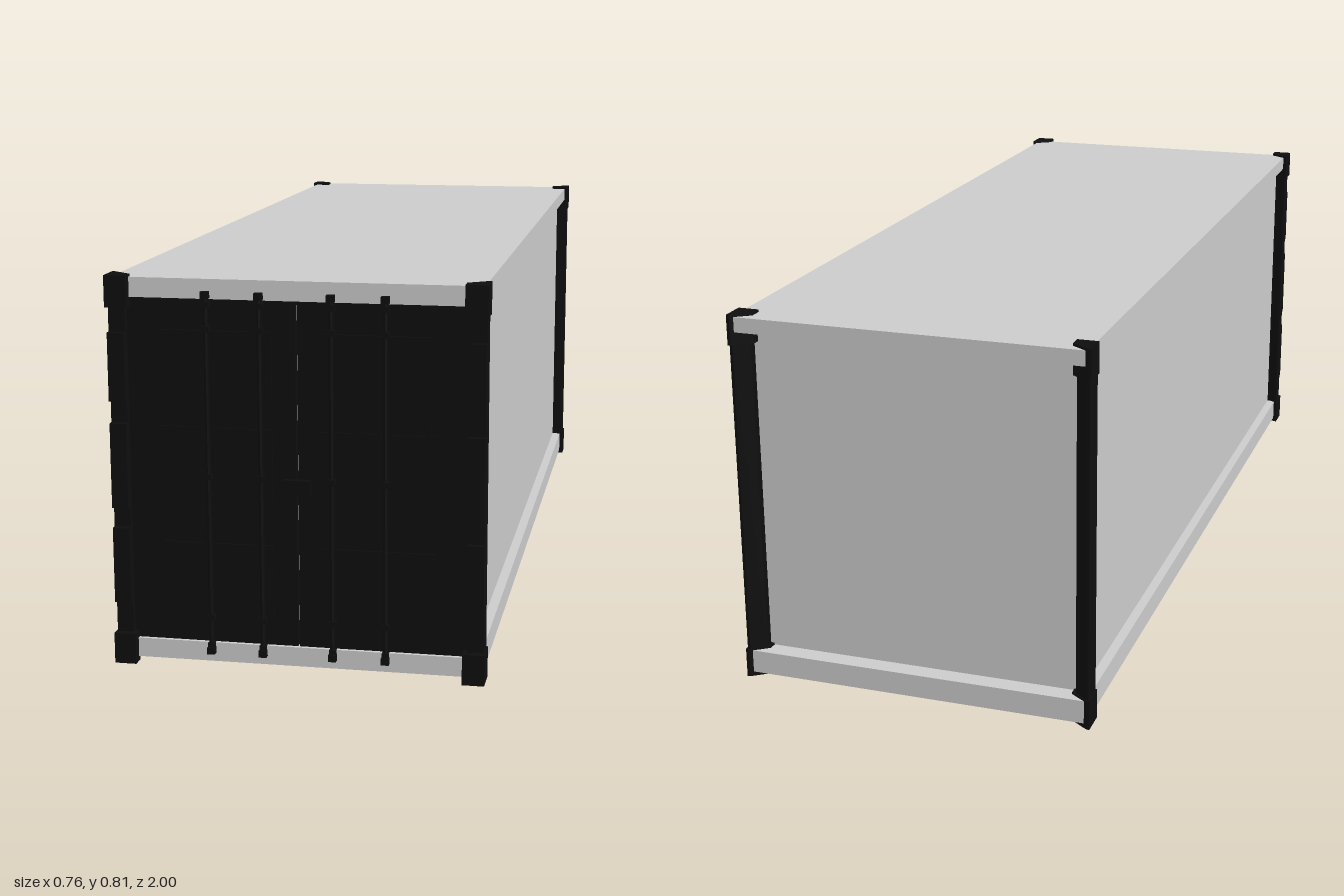
import * as THREE from 'three';

export function createModel() {
  const model = new THREE.Group();
  const grey = new THREE.MeshStandardMaterial({ color: 0xcccccc, flatShading: true });
  const black = new THREE.MeshStandardMaterial({ color: 0x0e0e0e, flatShading: true });

  // Box given by its extents on each axis
  function box(name, mat, x0, x1, y0, y1, z0, z1, parent = model) {
    const mesh = new THREE.Mesh(new THREE.BoxGeometry(x1 - x0, y1 - y0, z1 - z0), mat);
    mesh.position.set((x0 + x1) / 2, (y0 + y1) / 2, (z0 + z1) / 2);
    mesh.name = name;
    parent.add(mesh);
    return mesh;
  }

  // Upright column with its inner rear corner cut away
  function column(name, side, xIn, xOut, y0, y1, z0, z1) {
    const cut = z0 + (z1 - z0) * 0.5;
    const pts = [[xOut, z0], [xOut, z1], [xIn, z1], [xIn, cut], [xOut - 0.006, z0]];
    const shape = new THREE.Shape(pts.map(([x, z]) => new THREE.Vector2(side * x, -z)));
    const geo = new THREE.ExtrudeGeometry(shape, { depth: y1 - y0, bevelEnabled: false });
    geo.rotateX(-Math.PI / 2);
    const mesh = new THREE.Mesh(geo, black);
    mesh.position.y = y0;
    mesh.name = name;
    model.add(mesh);
  }

  // Body: recessed walls between floor and roof slabs
  box('walls', grey, -0.352, 0.352, 0.03, 0.79, -0.955, 0.955);
  box('floorFrame', grey, -0.373, 0.373, 0.01, 0.06, -0.995, 0.955);
  box('roofFrame', grey, -0.373, 0.373, 0.768, 0.8, -0.995, 0.955);
  box('frontSill', grey, -0.373, 0.373, 0.01, 0.05, 0.955, 0.98);
  box('frontHeader', grey, -0.373, 0.373, 0.76, 0.8, 0.955, 0.98);

  for (const side of [-1, 1]) {
    // Corner posts and corner castings
    for (const [end, z0, z1] of [['front', 0.943, 1], ['back', -1, -0.945]]) {
      const postFront = end === 'front' ? 0.986 : z1 - 0.001;
      column(end + 'Post', side, 0.345, 0.379, 0.06, 0.745, z0 + 0.003, postFront);
      column(end + 'BottomCasting', side, 0.337, 0.382, 0, 0.064, z0, z1);
      column(end + 'TopCasting', side, 0.337, 0.382, 0.741, 0.805, z0, z1);
    }

    // Door leaf with three raised panels and two inset bands
    const door = new THREE.Group();
    door.name = side > 0 ? 'leftDoor' : 'rightDoor';
    model.add(door);
    const part = (name, x0, x1, y0, y1, z0, z1) =>
      box(name, black, Math.min(side * x0, side * x1), Math.max(side * x0, side * x1), y0, y1, z0, z1, door);
    part('doorLeaf', 0.002, 0.36, 0.05, 0.76, 0.956, 0.972);
    for (const [y0, y1] of [[0.11, 0.26], [0.305, 0.5], [0.548, 0.696]])
      part('doorPanel', 0.05, 0.28, y0, y1, 0.97, 0.977);
    for (const [y0, y1] of [[0.26, 0.305], [0.5, 0.548]])
      part('doorBand', 0.06, 0.27, y0, y1, 0.97, 0.974);

    // Hinge plates on the front post
    for (const [y0, y1] of [[0.13, 0.288], [0.33, 0.505], [0.55, 0.69]])
      part('hingePlate', 0.345, 0.379, y0, y1, 0.98, 0.998);

    // Locking bars with keepers at both ends
    for (const x of [0.072, 0.18]) {
      const bar = new THREE.Mesh(new THREE.CylinderGeometry(0.005, 0.005, 0.73, 8), black);
      bar.position.set(side * x, 0.402, 0.983);
      bar.name = 'lockingBar';
      door.add(bar);
      for (const y of [0.028, 0.762])
        part('barKeeper', x - 0.008, x + 0.008, y, y + 0.014, 0.975, 0.993);
      for (const y of [0.045, 0.105, 0.4, 0.7, 0.75])
        part('barBracket', x - 0.007, x + 0.007, y - 0.006, y + 0.006, 0.97, 0.989);
    }
  }

  // Latch across the door seam
  box('latch', black, -0.028, 0.028, 0.37, 0.4, 0.97, 0.985);

  return model;
}
